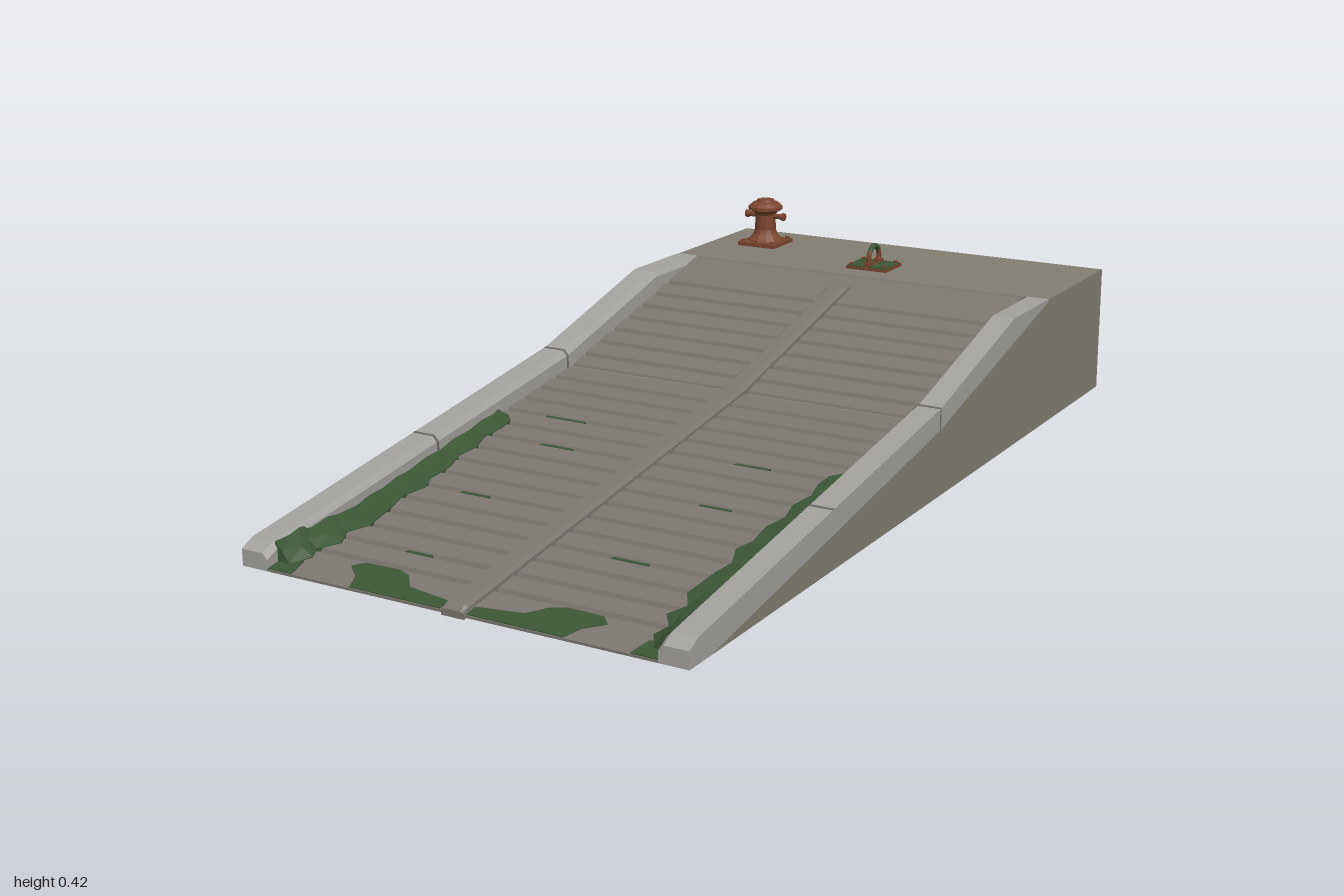
import * as THREE from 'three';

const mat = (name, color) => {
  const m = new THREE.MeshStandardMaterial({ color });
  m.name = name;
  return m;
};

// piecewise-linear lookup of height over z (points in descending z)
const lerpPath = (pts) => (z) => {
  for (let i = 0; i < pts.length - 1; i++) {
    const [z0, y0] = pts[i], [z1, y1] = pts[i + 1];
    if (z >= z1) return y0 + (y1 - y0) * Math.min(1, Math.max(0, (z0 - z) / (z0 - z1)));
  }
  return pts[pts.length - 1][1];
};
const deckY = lerpPath([[1, 0.005], [-0.04, 0.155], [-0.62, 0.3], [-1, 0.3]]);
const bodyY = lerpPath([[1, 0], [0.93, 0], [-0.04, 0.148], [-0.64, 0.295]]);
const curbY = lerpPath([[1, 0.035], [0.97, 0.05], [-0.04, 0.195], [-0.43, 0.301], [-1, 0.301]]);

// flat-shaded skin through cross-sections; zs descend, section(z) runs counter-clockwise
function loft(zs, section) {
  const pos = [], idx = [], n = section(zs[0]).length;
  zs.forEach((z) => section(z).forEach(([x, y]) => pos.push(x, y, z)));
  for (let i = 0; i < zs.length - 1; i++)
    for (let j = 0; j < n; j++) {
      const a = i * n + j, b = i * n + ((j + 1) % n);
      idx.push(a, a + n, b, b, a + n, b + n);
    }
  const e = (zs.length - 1) * n;
  for (let j = 1; j < n - 1; j++) idx.push(0, j, j + 1, e, e + j + 1, e + j);
  const g = new THREE.BufferGeometry();
  g.setAttribute('position', new THREE.Float32BufferAttribute(pos, 3));
  g.setIndex(idx);
  const flat = g.toNonIndexed();
  flat.computeVertexNormals();
  return flat;
}

// mirrored copy across x with corrected winding
function mirror(geo) {
  const g = geo.index ? geo.toNonIndexed() : geo.clone();
  const p = g.attributes.position;
  const v = [0, 1, 2].map(() => new THREE.Vector3());
  for (let i = 0; i < p.count; i += 3) {
    v.forEach((q, k) => q.fromBufferAttribute(p, i + k));
    [0, 2, 1].forEach((k, t) => p.setXYZ(i + t, -v[k].x, v[k].y, v[k].z));
  }
  g.computeVertexNormals();
  return g;
}

// side profile of [z, y] points extruded across the width
function profile(pts, halfWidth) {
  const s = new THREE.Shape(pts.map(([z, y]) => new THREE.Vector2(-z, y)));
  const g = new THREE.ExtrudeGeometry(s, { depth: halfWidth * 2, bevelEnabled: false });
  g.translate(0, 0, -halfWidth);
  g.rotateY(Math.PI / 2);
  return g;
}

export function createModel() {
  const root = new THREE.Group();
  root.name = 'boatRamp';
  const concrete = mat('concrete', 0x827e73);
  const deckMat = mat('rampConcrete', 0x7b766f);
  const curbMat = mat('paleConcrete', 0xa3a19d);
  const jointMat = mat('joint', 0x6b6a67);
  const moss = mat('moss', 0x3b5635);
  const rust = mat('rust', 0x7c462f);

  const add = (name, geo, m, parent = root, x = 0, y = 0, z = 0) => {
    const mesh = new THREE.Mesh(geo, m);
    mesh.name = name;
    mesh.position.set(x, y, z);
    parent.add(mesh);
    return mesh;
  };
  const addPair = (name, geo, m) => {
    add(name + 'Left', geo, m);
    add(name + 'Right', mirror(geo), m);
  };

  // solid wedge and landing
  add('body', profile([[0.93, 0], [-0.04, 0.148], [-0.64, 0.295], [-0.64, 0.3], [-1, 0.3], [-1, 0]], 0.5), concrete);

  // ramp surface with cross grooves
  const grooves = Array.from({ length: 23 }, (_, i) => -0.48 + i * 0.0627);
  const top = [[-0.64, 0.3], [-0.62, 0.3]];
  let bent = false;
  grooves.forEach((z) => {
    if (!bent && z > -0.03) {
      top.push([-0.04, deckY(-0.04)]);
      bent = true;
    }
    [[-0.009, 0], [-0.005, 0.008], [0.004, 0.008], [0.007, 0]].forEach(([d, h]) =>
      top.push([z + d - (z > -0.06 && z < -0.03 ? 0.01 : 0), deckY(z + d) - h]));
  });
  add('rampDeck', profile([...top, [1, 0.005], [1, 0], [0.8, 0], [-0.04, 0.12], [-0.64, 0.27]], 0.44), deckMat);

  // centre rail with bevelled edges
  add('centreRail', loft([1, 0.985, -0.04, -0.55, -0.57], (z) => {
    const s = deckY(z), h = z > 0.99 || z < -0.56 ? 0.004 : 0.013;
    return [[-0.026, s - 0.01], [0.026, s - 0.01], [0.025, s + h * 0.5], [0.018, s + h],
      [-0.018, s + h], [-0.025, s + h * 0.5]];
  }), deckMat);

  // curbs and their joints
  const curb = (zs, o) => loft(zs, (z) => {
    const b = bodyY(z), t = curbY(z) + o;
    return [[0.5, b], [0.5, t], [0.448 - o, t], [0.437 - o, t - 0.012], [0.437 - o, b]];
  });
  addPair('curb', curb([1, 0.97, 0.93, 0.46, -0.04, -0.43, -0.64], 0), curbMat);
  [0.46, -0.035].forEach((z) => addPair('curbJoint', curb([z + 0.003, z - 0.003], 0.001), jointMat));

  // moss along the curbs, heaped toward the foot
  const mossZ = [0.97, 0.93, 0.9, 0.86, 0.82, 0.78, 0.73, 0.69, 0.65, 0.6, 0.56, 0.5, 0.45, 0.4, 0.35, 0.3, 0.26, 0.24];
  const inner = [0.41, 0.385, 0.4, 0.37, 0.39, 0.365, 0.37, 0.375, 0.385, 0.365, 0.38, 0.375, 0.39, 0.38, 0.395, 0.385, 0.39, 0.41];
  addPair('sideMoss', loft(mossZ, (z) => {
    const i = mossZ.indexOf(z), s = deckY(z);
    const h = z > 0.74 ? 0.022 + 0.02 * Math.max(0, (z - 0.78) / 0.15) - (i % 2) * 0.006 : 0.009 + (i % 2) * 0.004;
    const x = inner[i];
    return [[0.442, s - 0.006], [0.442, s + Math.min(h, 0.042)], [(x + 0.44) / 2, s + h * 0.5], [x, s + 0.002], [x, s - 0.006]];
  }), moss);

  // moss patches at the waterline
  const patch = (pts) => {
    const s = new THREE.Shape(pts.map(([x, z]) => new THREE.Vector2(x, -z)));
    const g = new THREE.ExtrudeGeometry(s, { depth: 0.006, bevelEnabled: false });
    g.rotateX(-Math.PI / 2);
    const p = g.attributes.position;
    for (let i = 0; i < p.count; i++) p.setY(i, p.getY(i) + deckY(p.getZ(i)) - 0.004);
    g.computeVertexNormals();
    return g;
  };
  addPair('footMoss', patch([[0.03, 0.97], [0.13, 0.955], [0.16, 0.92], [0.19, 0.908], [0.27, 0.91], [0.29, 0.93],
    [0.255, 0.96], [0.24, 0.998], [0.03, 0.998]]), moss);
  addPair('cornerMoss', patch([[0.39, 0.95], [0.438, 0.94], [0.438, 0.999], [0.38, 0.999]]), moss);

  // moss streaks in the grooves
  [[11, -0.28, 0.1], [12, 0.22, 0.08], [13, -0.22, 0.08], [15, 0.24, 0.07], [17, -0.25, 0.07], [19, 0.2, 0.08], [21, -0.2, 0.06]]
    .forEach(([i, x, w]) => add('grooveMoss', new THREE.BoxGeometry(w, 0.006, 0.01), moss, root, x, deckY(grooves[i]) - 0.004, grooves[i]));

  // mooring bollard
  const bollard = new THREE.Group();
  bollard.name = 'bollard';
  bollard.position.set(-0.365, 0.3, -0.855);
  root.add(bollard);
  add('bollardPlate', new THREE.BoxGeometry(0.104, 0.01, 0.104), rust, bollard, 0, 0.005, 0);
  const pts = [[0.046, 0.008], [0.044, 0.014], [0.031, 0.028], [0.027, 0.04], [0.026, 0.078], [0.03, 0.084],
    [0.044, 0.092], [0.044, 0.1], [0.034, 0.109], [0.024, 0.112], [0.022, 0.117], [0, 0.117]];
  const post = new THREE.LatheGeometry(pts.map(([r, y]) => new THREE.Vector2(r, y)), 12).toNonIndexed();
  post.computeVertexNormals();
  add('bollardPost', post, rust, bollard);
  const bar = new THREE.CylinderGeometry(0.007, 0.007, 0.1, 8).rotateZ(Math.PI / 2);
  add('bollardCrossbar', bar, rust, bollard, 0, 0.075, 0);
  [-1, 1].forEach((s) => {
    const knob = new THREE.CylinderGeometry(0.01, 0.01, 0.008, 8).rotateZ(Math.PI / 2);
    add('crossbarKnob', knob, rust, bollard, s * 0.052, 0.075, 0);
  });

  // mooring ring on a mossy plate
  const ring = new THREE.Group();
  ring.name = 'mooringRing';
  ring.position.set(0, 0.3, -0.745);
  root.add(ring);
  add('ringPlate', new THREE.BoxGeometry(0.108, 0.007, 0.09), rust, ring, 0, 0.0035, 0);
  [-1, 1].forEach((s) => {
    add('plateMoss', new THREE.BoxGeometry(0.046, 0.003, 0.084), moss, ring, s * 0.029, 0.008, 0);
    add('ringFoot', new THREE.BoxGeometry(0.018, 0.012, 0.016), rust, ring, 0, 0.012, s * 0.028);
  });
  const arc = (from, len) => new THREE.TorusGeometry(0.028, 0.0065, 8, 8, len).rotateZ(from).rotateY(Math.PI / 2);
  add('ringTop', arc(Math.PI * 0.2, Math.PI * 0.6), moss, ring, 0, 0.026, 0);
  add('ringSideFront', arc(-Math.PI * 0.15, Math.PI * 0.35), rust, ring, 0, 0.026, 0);
  add('ringSideBack', arc(Math.PI * 0.8, Math.PI * 0.35), rust, ring, 0, 0.026, 0);

  // plate bolts
  [[bollard, 0.042, 0.042, 0.012], [ring, 0.044, 0.034, 0.011]].forEach(([g, x, z, y]) =>
    [-1, 1].forEach((a) => [-1, 1].forEach((b) =>
      add('bolt', new THREE.CylinderGeometry(0.006, 0.006, 0.006, 6), rust, g, a * x, y, b * z))));

  return root;
}
